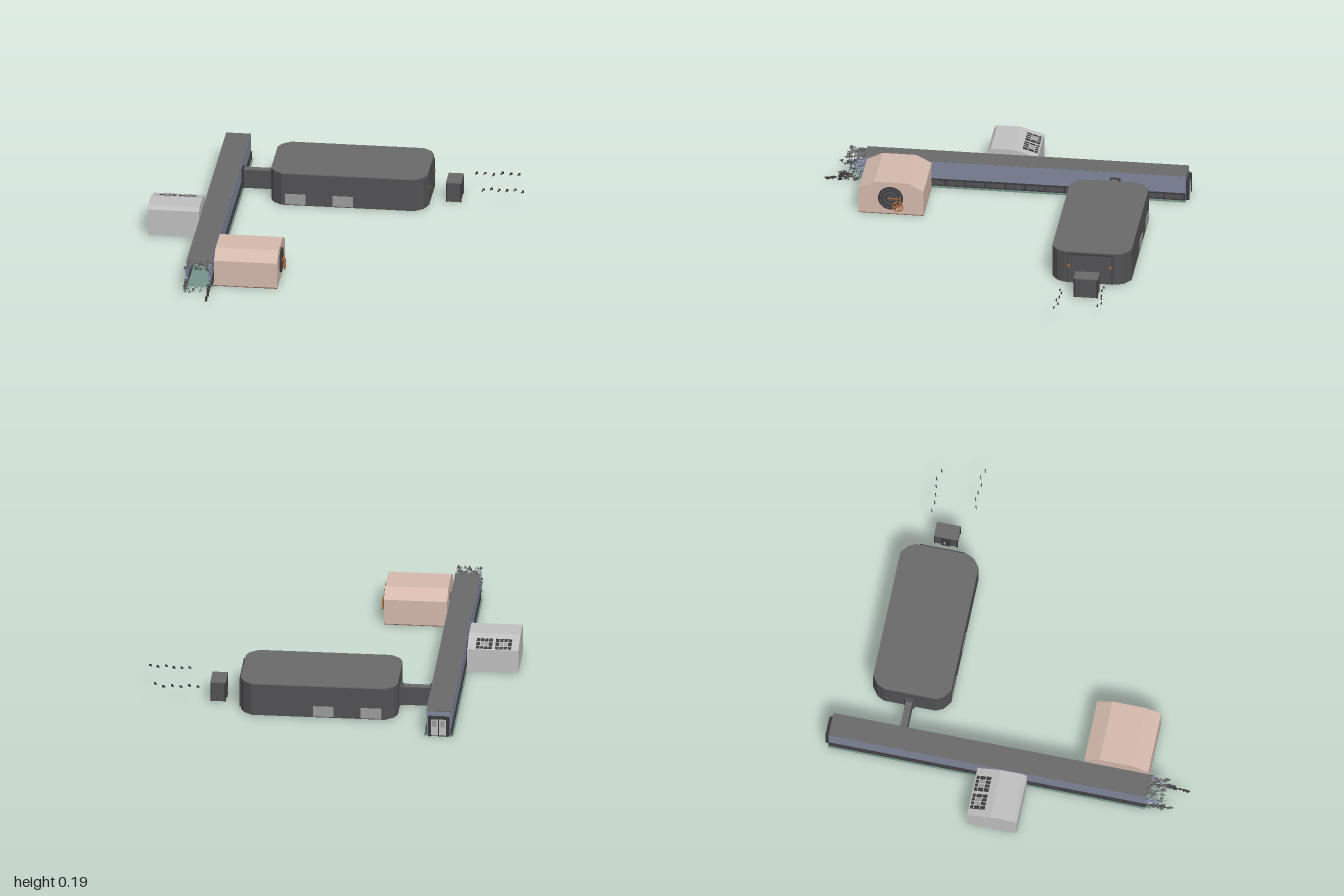
import * as THREE from 'three';
import { mergeGeometries } from 'three/addons/utils/BufferGeometryUtils.js';

const mat = (name, color, side = THREE.FrontSide) => {
  const m = new THREE.MeshStandardMaterial({ color, side });
  m.name = name;
  return m;
};

export function createModel() {
  const roofGrey = mat('roofGrey', 0x6a6a6b);
  const wallGrey = mat('wallGrey', 0x525254);
  const blue = mat('blueWall', 0x80869c);
  const green = mat('greenFloor', 0x74948a);
  const light = mat('lightGrey', 0xc0c0c0);
  const peach = mat('peach', 0xd4b9ac);
  const brown = mat('brownFloor', 0x80564a);
  const copper = mat('copper', 0xb06a3c);
  const dark = mat('darkTrim', 0x3a3a3d, THREE.DoubleSide);
  const pane = mat('windowPane', 0x9c9c9c);

  const model = new THREE.Group();
  const group = (name) => {
    const g = new THREE.Group();
    g.name = name;
    model.add(g);
    return g;
  };
  const add = (parent, name, geometry, material) => {
    const m = new THREE.Mesh(geometry, material);
    m.name = name;
    parent.add(m);
    return m;
  };
  // Box given by its limits on each axis
  const span = (x0, x1, y0, y1, z0, z1) =>
    new THREE.BoxGeometry(x1 - x0, y1 - y0, z1 - z0)
      .translate((x0 + x1) / 2, (y0 + y1) / 2, (z0 + z1) / 2);
  const box = (parent, name, material, ...s) => add(parent, name, span(...s), material);
  // Profile of [z, y] points swept along x
  const sweepX = (points, x0, x1) => new THREE.ExtrudeGeometry(
    new THREE.Shape(points.map(([z, y]) => new THREE.Vector2(-z, y))),
    { depth: x1 - x0, bevelEnabled: false }).rotateY(Math.PI / 2).translate(x0, 0, 0);
  // Plan of [x, z] points raised along y
  const raise = (points, y0, y1) => new THREE.ExtrudeGeometry(
    new THREE.Shape(points.map(([x, z]) => new THREE.Vector2(x, -z))),
    { depth: y1 - y0, bevelEnabled: false }).rotateX(-Math.PI / 2).translate(0, y0, 0);

  let seed = 7;
  const rand = () => (seed = (seed * 16807) % 2147483647) / 2147483647;

  // Long corridor, open at its broken front end
  const hall = group('corridor');
  const cx = -0.63, zb = -0.98, zf = 0.78;
  box(hall, 'corridorFloor', green, cx - 0.08, cx + 0.08, 0, 0.008, zb, zf);
  box(hall, 'corridorRoof', roofGrey, cx - 0.067, cx + 0.067, 0.145, 0.152, zb, zf);
  for (const s of [-1, 1]) {
    const wall = (name, material, a, b, y0, y1, z0, z1) => {
      const e = [cx + s * a, cx + s * b].sort((p, q) => p - q);
      box(hall, name, material, e[0], e[1], y0, y1, z0, z1);
    };
    wall('upperWall', blue, 0.062, 0.068, 0.05, 0.151, zb, zf);
    wall('lowerWall', wallGrey, 0.062, 0.067, 0.008, 0.05, zb, zf);
    wall('wallRail', dark, 0.062, 0.073, 0.042, 0.049, zb, zf);
    wall('baseRail', dark, 0.062, 0.073, 0.008, 0.013, zb, zf);
    for (let i = 0; i <= 16; i++) {
      const z = zb + 0.004 + i * 0.109;
      wall('wallRib', dark, 0.062, 0.073, 0.008, 0.047, z, z + 0.008);
    }
  }

  // Back wall and door, finished inside and outside
  box(hall, 'backWall', blue, cx - 0.067, cx + 0.067, 0.008, 0.15, zb, zb + 0.006);
  box(hall, 'backDoorFrame', dark, cx - 0.058, cx + 0.058, 0.004, 0.12, zb - 0.012, zb + 0.012);
  for (const s of [-1, 1]) {
    const x = cx + s * 0.022;
    box(hall, 'backDoorLeaf', light, x - 0.02, x + 0.02, 0.01, 0.108, zb - 0.015, zb + 0.015);
    box(hall, 'backDoorInset', pane, x - 0.012, x + 0.012, 0.06, 0.1, zb - 0.017, zb + 0.017);
    box(hall, 'backDoorPost', dark, cx + s * 0.049 - 0.006, cx + s * 0.049 + 0.006, 0.004, 0.115, zb - 0.019, zb + 0.016);
  }
  box(hall, 'backDoorLintel', dark, cx - 0.045, cx + 0.045, 0.108, 0.118, zb - 0.02, zb + 0.016);

  // Torn shards at the broken end, on the walls, roof and floor
  const shards = group('brokenEnd');
  const scatter = (name, material, count, place) => {
    const parts = [];
    for (let i = 0; i < count; i++) {
      const size = 0.006 + 0.015 * rand();
      parts.push(new THREE.TetrahedronGeometry(size)
        .rotateX(rand() * 6).rotateY(rand() * 6)
        .scale(0.6, 0.7, 1).translate(...place()));
    }
    add(shards, name, mergeGeometries(parts), material);
  };
  const wallX = () => cx + (rand() < 0.5 ? -0.063 : 0.063);
  scatter('roofShards', roofGrey, 60, () => [cx + (rand() - 0.5) * 0.13, 0.145, zf + 0.1 * rand() ** 1.7]);
  scatter('wallShards', blue, 55, () => [wallX(), 0.04 + 0.1 * rand(), zf + 0.09 * rand() ** 1.5]);
  scatter('lowerShards', wallGrey, 45, () => [wallX(), 0.012 + 0.05 * rand(), zf + 0.14 * rand()]);
  scatter('floorShards', green, 30, () => [cx + (rand() - 0.5) * 0.14, 0.01, zf + 0.1 * rand()]);
  scatter('looseDebris', dark, 28, () => {
    const t = rand();
    return [cx + 0.065, 0.01 + 0.06 * rand() * (1 - t), zf + 0.05 + 0.16 * t];
  });

  // Peach room with a canted roof
  const vault = group('peachRoom');
  add(vault, 'peachShell', sweepX([[0.765, 0.006], [0.765, 0.15], [0.68, 0.193], [0.495, 0.193],
    [0.41, 0.15], [0.41, 0.006]], -0.55, -0.205), peach);
  box(vault, 'peachFloor', brown, -0.55, -0.205, 0.002, 0.008, 0.41, 0.765);
  box(vault, 'peachDoorway', dark, -0.568, -0.545, 0.008, 0.11, 0.55, 0.63);

  // Round door with rings, spokes and a copper hand wheel
  const door = new THREE.Group();
  door.name = 'roundDoor';
  door.position.set(-0.205, 0.1, 0.59);
  door.rotation.y = Math.PI / 2;
  vault.add(door);
  add(door, 'doorDisc', new THREE.CylinderGeometry(0.064, 0.064, 0.01, 32).rotateX(Math.PI / 2), wallGrey);
  for (const r of [0.065, 0.045, 0.024])
    add(door, 'doorRing', new THREE.TorusGeometry(r, 0.004, 6, 32).translate(0, 0, 0.004), dark);
  for (let i = 0; i < 12; i++)
    add(door, 'doorSpoke', new THREE.BoxGeometry(0.004, 0.022, 0.008).translate(0, 0.055, 0.003)
      .rotateZ(i * Math.PI / 6), dark);
  add(door, 'doorBar', new THREE.BoxGeometry(0.07, 0.005, 0.005).translate(0.02, 0.003, 0.012), copper);
  add(door, 'doorPipe', new THREE.TorusGeometry(0.045, 0.003, 6, 20, 2).rotateZ(-1.4).translate(0.012, -0.01, 0.012), copper);
  const wheel = new THREE.Group();
  wheel.name = 'handWheel';
  wheel.position.set(0.04, -0.042, 0.018);
  door.add(wheel);
  add(wheel, 'wheelRim', new THREE.TorusGeometry(0.028, 0.0035, 6, 24), copper);
  for (let i = 0; i < 3; i++)
    add(wheel, 'wheelSpoke', new THREE.BoxGeometry(0.054, 0.004, 0.004).rotateZ(i * Math.PI / 3), copper);

  // Light room with a sloping skylight roof at the back
  const lab = group('lightRoom');
  const ridge = [-0.02, 0.175], eave = [-0.15, 0.137];
  add(lab, 'lightShell', sweepX([[0.125, 0.004], [0.125, 0.155], [0.108, 0.175], ridge, eave,
    [-0.15, 0.004]], -0.99, -0.71), light);
  box(lab, 'lightRoomDoorway', dark, -0.715, -0.694, 0.008, 0.11, -0.06, 0.02);
  const slope = new THREE.Group();
  slope.name = 'skylights';
  slope.position.set(0, (ridge[1] + eave[1]) / 2, (ridge[0] + eave[0]) / 2);
  slope.rotation.x = -Math.atan2(ridge[1] - eave[1], ridge[0] - eave[0]);
  lab.add(slope);
  for (const x of [-0.905, -0.8]) {
    box(slope, 'skylightOpening', dark, x - 0.044, x + 0.044, -0.001, 0.002, -0.06, 0.024);
    for (const dx of [-0.022, 0, 0.022])
      box(slope, 'skylightBar', light, x + dx - 0.002, x + dx + 0.002, 0, 0.004, -0.06, 0.024);
    for (const z of [-0.04, -0.005])
      box(slope, 'skylightCrossBar', light, x - 0.044, x + 0.044, 0, 0.004, z - 0.002, z + 0.002);
    box(slope, 'skylightPane', pane, x - 0.02, x + 0.02, 0, 0.003, -0.038, -0.007);
  }

  // Large dark hall with faceted corners
  const big = group('largeHall');
  const mx = 0.043, mz = -0.593, hx = 0.428, hz = 0.217;
  const corner = [[hx, hz - 0.075], [hx - 0.018, hz - 0.035], [hx - 0.065, hz]];
  const plan = [];
  for (const [sx, sz] of [[1, 1], [-1, 1], [-1, -1], [1, -1]]) {
    const c = sx * sz > 0 ? corner : [...corner].reverse();
    for (const [x, z] of c) plan.push([mx + sx * x, mz + sz * z]);
  }
  add(big, 'hallWalls', raise(plan, 0.004, 0.186), wallGrey);
  add(big, 'hallRoof', raise(plan, 0.186, 0.191), roofGrey);
  for (const x of [-0.245, 0.015])
    for (const s of [-1, 1]) {
      const z = mz + s * hz;
      box(big, 'hallWindow', pane, x - 0.056, x + 0.056, 0.01, 0.07, z - 0.003, z + 0.003);
    }
  for (const [x, z] of [[-0.2, -0.5], [-0.05, -0.6], [0.1, -0.55], [0.22, -0.66]])
    box(big, 'floorFitting', pane, x, x + 0.02, 0.001, 0.006, z, z + 0.015);

  // Gate on the hall's outer end
  box(big, 'gatePlate', wallGrey, 0.465, 0.477, 0.006, 0.18, -0.715, -0.465);
  for (const z of [-0.715, -0.469]) box(big, 'gatePost', dark, 0.468, 0.48, 0.006, 0.18, z, z + 0.004);
  box(big, 'gateLintel', dark, 0.468, 0.48, 0.176, 0.18, -0.715, -0.465);
  for (const z of [-0.705, -0.475])
    box(big, 'gateLamp', copper, 0.476, 0.482, 0.1, 0.116, z - 0.006, z + 0.006);

  // Passage between corridor and hall
  const link = group('passage');
  box(link, 'passageTube', wallGrey, -0.56, -0.38, 0.006, 0.112, -0.613, -0.575);
  box(link, 'passageRoof', roofGrey, -0.56, -0.38, 0.112, 0.116, -0.613, -0.575);
  box(link, 'passageFrame', dark, -0.568, -0.55, 0.006, 0.12, -0.622, -0.566);
  add(link, 'passageFlare', raise([[-0.405, -0.575], [-0.383, -0.56], [-0.383, -0.628], [-0.405, -0.613]], 0.006, 0.12), wallGrey);

  // Free-standing cabin
  const cabin = group('cabin');
  box(cabin, 'cabinBody', wallGrey, 0.566, 0.642, 0.004, 0.114, -0.652, -0.528);
  box(cabin, 'cabinRoof', roofGrey, 0.562, 0.646, 0.114, 0.12, -0.656, -0.524);
  for (const x of [0.562, 0.64]) for (const z of [-0.656, -0.53])
    box(cabin, 'cabinPost', dark, x, x + 0.006, 0.004, 0.114, z, z + 0.006);
  box(cabin, 'cabinDoor', dark, 0.558, 0.568, 0.01, 0.1, -0.615, -0.565);
  box(cabin, 'cabinHandle', pane, 0.554, 0.56, 0.04, 0.065, -0.6, -0.59);

  // Two rows of small floating pieces
  const bits = group('floatingPieces');
  for (const [x0, x1, z0] of [[0.705, 0.95, -0.71], [0.77, 0.998, -0.472]])
    for (let i = 0; i < 6; i++) {
      const x = x0 + (x1 - x0 - 0.012) * i / 5, y = 0.098 + 0.014 * rand(), z = z0 + (rand() - 0.5) * 0.03;
      box(bits, 'floatingPiece', dark, x, x + 0.012, y, y + 0.012, z, z + 0.004);
      box(bits, 'floatingChip', dark, x - 0.004, x + 0.002, y - 0.004, y + 0.003, z + 0.004, z + 0.008);
    }
  return model;
}
